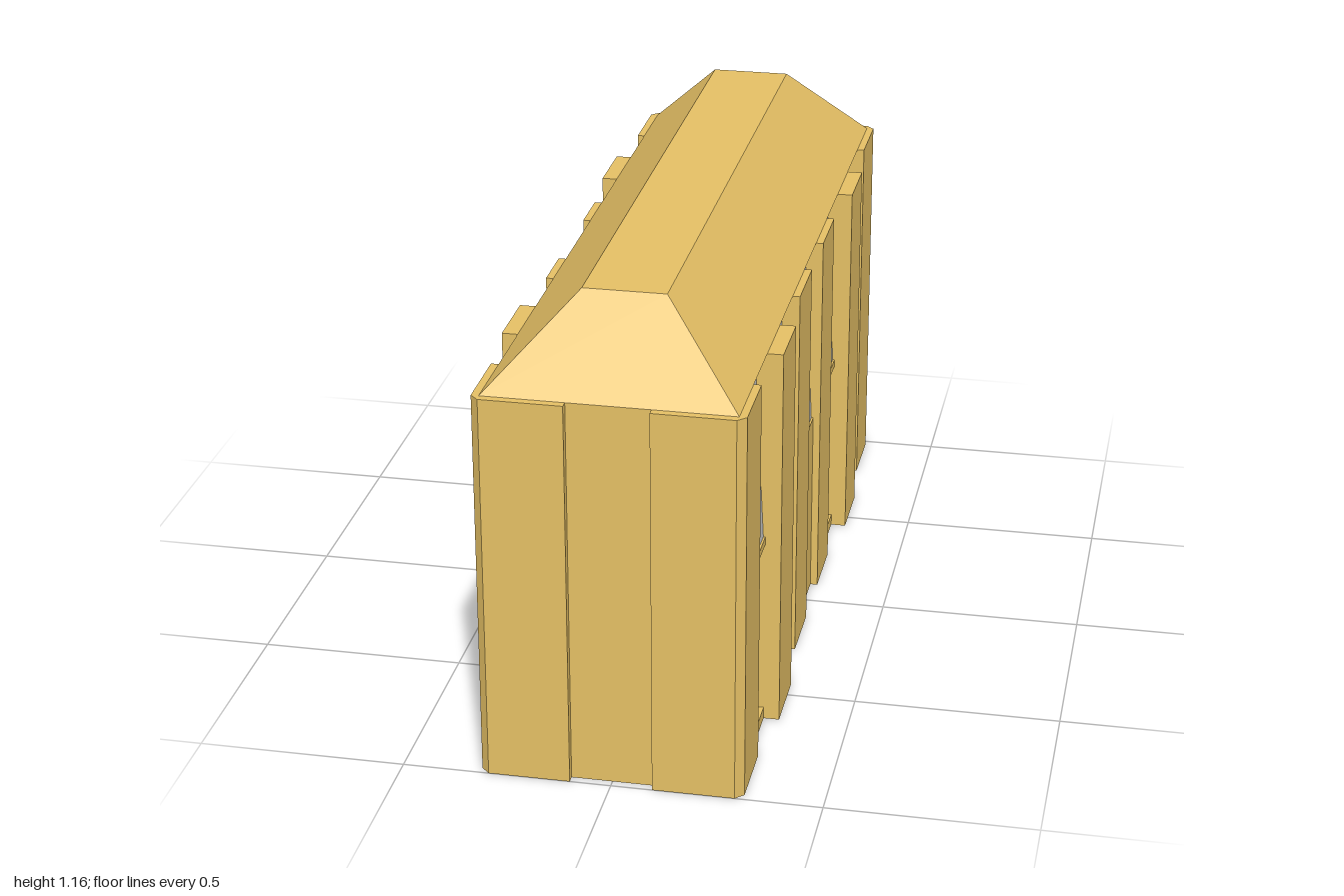
import * as THREE from 'three';

const WALL_H = 0.96, ROOF_H = 1.163, HALF_X = 0.295, HALF_Z = 0.98;
const CORE_X = 0.262, POST_X = 0.313, BUTTRESS_X = 0.333, MID = 0.48, SILL = 0.03;

const wallMat = new THREE.MeshStandardMaterial({ color: 0xe5c065 });
const glassMat = new THREE.MeshStandardMaterial({ color: 0xcccccc });

function add(group, name, geometry, material = wallMat) {
  const mesh = new THREE.Mesh(geometry, material);
  mesh.name = name;
  group.add(mesh);
}

// Box given by its limits
function block(x0, x1, y0, y1, z0, z1) {
  return new THREE.BoxGeometry(Math.abs(x1 - x0), y1 - y0, z1 - z0)
    .translate((x0 + x1) / 2, (y0 + y1) / 2, (z0 + z1) / 2);
}

// Outline in x,y drawn out along z
function prism(points, z0, z1) {
  const shape = new THREE.Shape(points.map(([x, y]) => new THREE.Vector2(x, y)));
  return new THREE.ExtrudeGeometry(shape, { depth: z1 - z0, bevelEnabled: false }).translate(0, 0, z0);
}

// Plan outline in x,z raised to the wall height
function post(points) {
  const shape = new THREE.Shape(points.map(([x, z]) => new THREE.Vector2(x, -z)));
  return new THREE.ExtrudeGeometry(shape, { depth: WALL_H, bevelEnabled: false }).rotateX(-Math.PI / 2);
}

// One bay between two pilasters; upper panes lean inward towards the top
function windowBay(name, side, z0, z1, upperGlass, lowerGlass) {
  const bay = new THREE.Group();
  bay.name = name;
  const inner = side * (CORE_X - 0.02), face = side * HALF_X;
  if (upperGlass) {
    const bottom = lowerGlass ? MID + 0.01 : MID;
    add(bay, 'upperPane', prism([
      [inner, bottom], [side * 0.29, bottom], [side * 0.268, 0.93], [inner, 0.93],
    ], z0, z1), glassMat);
    add(bay, 'lintel', block(inner, side * 0.268, 0.93, WALL_H, z0, z1));
  } else {
    add(bay, 'upperPanel', block(inner, face, MID, WALL_H, z0, z1));
  }
  if (lowerGlass) {
    add(bay, 'lowerPane', block(inner, side * 0.278, SILL, MID, z0, z1), glassMat);
    add(bay, 'sill', block(inner, face, 0, SILL, z0, z1));
  } else {
    add(bay, 'lowerPanel', block(inner, face, 0, MID, z0, z1));
  }
  if (upperGlass && lowerGlass) {
    add(bay, 'transom', block(inner, face, MID - 0.01, MID + 0.01, z0, z1));
  }
  return bay;
}

export function createModel() {
  const model = new THREE.Group();
  model.name = 'building';

  add(model, 'core', block(-CORE_X, CORE_X, 0, WALL_H, -HALF_Z, HALF_Z));

  // Hipped roof: a box whose top is drawn in to a flat ridge
  const roof = new THREE.BoxGeometry(2 * HALF_X, ROOF_H - WALL_H, 2 * HALF_Z);
  const p = roof.attributes.position;
  for (let i = 0; i < p.count; i++) {
    if (p.getY(i) > 0) {
      p.setX(i, Math.sign(p.getX(i)) * 0.098);
      p.setZ(i, Math.sign(p.getZ(i)) * 0.8);
    }
  }
  roof.computeVertexNormals();
  add(model, 'roof', roof.translate(0, (WALL_H + ROOF_H) / 2, 0));

  for (const side of [1, -1]) {
    const centre = side > 0 ? 0.09 : 0.135; // half width of the middle bay

    for (const end of [1, -1]) {
      // Chamfered corner post wrapping onto the end wall
      add(model, 'cornerPost', post([
        [POST_X, 0.8], [POST_X, 0.98], [0.293, 1], [0.098, 1], [0.098, 0.8],
      ].map(([x, z]) => [side * x, end * z])));

      // Deep buttress and shallow pilaster
      const span = (a, b) => (end > 0 ? [a, b] : [-b, -a]);
      add(model, 'buttress', block(side * 0.2, side * BUTTRESS_X, 0, WALL_H, ...span(0.448, 0.623)));
      add(model, 'pilaster', block(side * 0.2, side * POST_X, 0, WALL_H, ...span(centre, 0.268)));

      // Tall two-pane windows
      model.add(windowBay('outerWindow', side, ...span(0.623, 0.8), true, true));
      model.add(windowBay('innerWindow', side, ...span(0.268, 0.448), true, true));
    }

    // Middle bay: glazed above on one side, below on the other
    model.add(windowBay('middleBay', side, -centre, centre, side > 0, side < 0));
  }
  return model;
}
